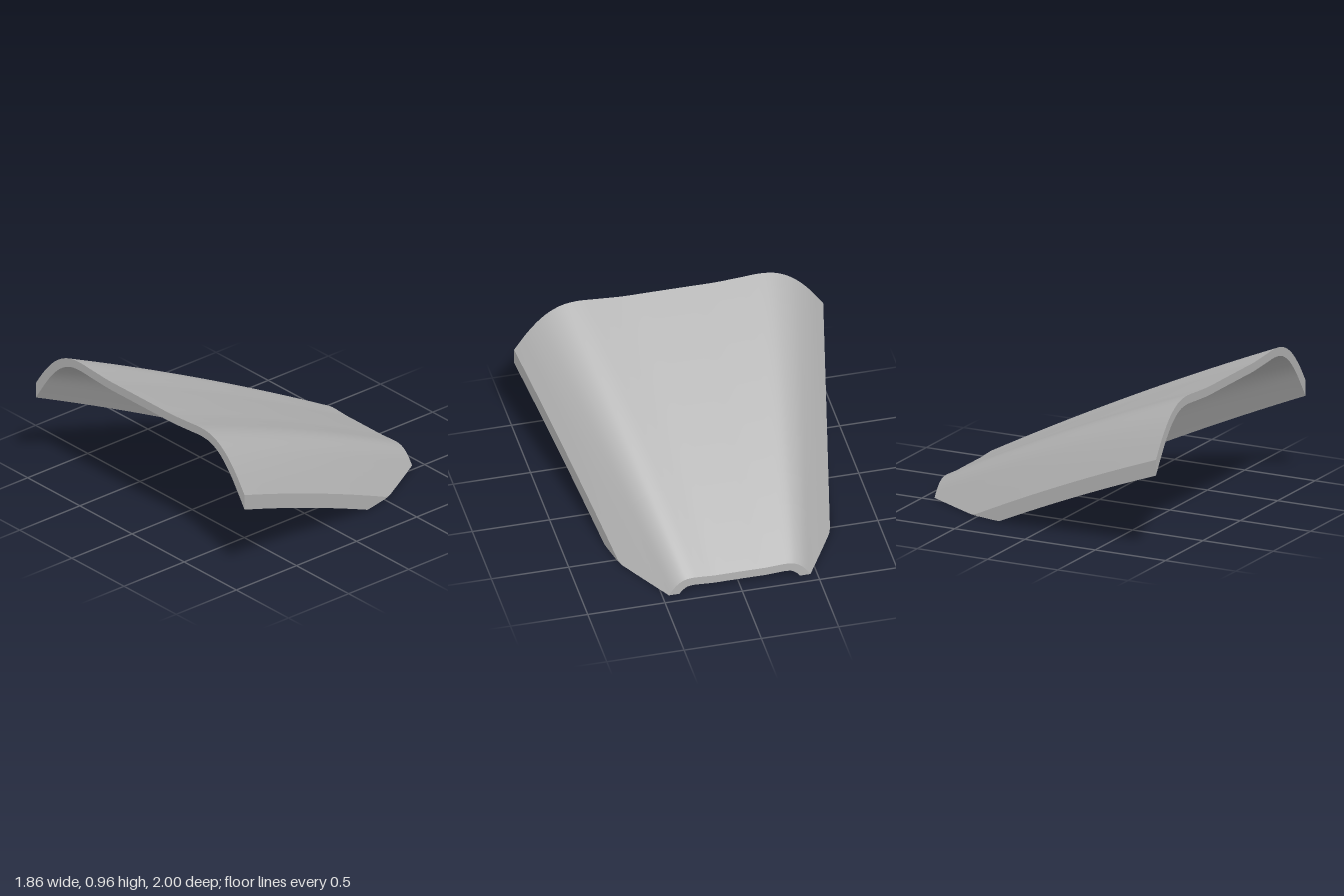
import * as THREE from 'three';

const X = 0.932, THICK = 0.057, HALF = 40;

// Half cross-sections (z, drop below the ridge) at the wide and narrow ends
const spline = (pts) => new THREE.CatmullRomCurve3(pts.map(([z, d]) => new THREE.Vector3(z, -d, 0)));
const wide = spline([[0, 0.017], [0.15, 0.017], [0.3, 0.017], [0.45, 0.008], [0.6, 0],
  [0.7, 0.017], [0.8, 0.072], [0.9, 0.172], [1, 0.312], [1.1, 0.465]]);
const narrow = spline([[0, 0.006], [0.08, 0.006], [0.17, 0.006], [0.24, 0.002], [0.31, 0],
  [0.36, 0.01], [0.41, 0.045], [0.475, 0.135], [0.597, 0.31], [0.7, 0.46]]);

const ridge = (x) => 0.536 + 0.03 * (1 - (x / X) ** 2) - 0.457 * x;
const rim = (x) => 1 - 0.2167 * (x + X);

// Point on the shell at length x and profile parameter t, set in by depth
function shellPoint(x, t, depth) {
  const k = (x + X) / (2 * X);
  const at = (s) => wide.getPoint(s).lerp(narrow.getPoint(s), k);
  const p = at(t);
  if (depth > 0) {
    const e = 0.002;
    const d = at(Math.min(1, t + e)).sub(at(Math.max(0, t - e))).normalize();
    p.x += d.y * depth;
    p.y -= d.x * depth;
  }
  return new THREE.Vector3(x, p.y + ridge(x), p.x);
}

// Full mirrored row, trimmed by the side rim and the ground
function section(x, depth) {
  const inside = (p) => p.z <= rim(x) && p.y >= 0;
  let lo = 0.3, hi = 1;
  for (let i = 0; i < 30; i++) {
    const mid = (lo + hi) / 2;
    if (inside(shellPoint(x, mid, depth))) lo = mid; else hi = mid;
  }
  const half = [];
  for (let j = 0; j <= HALF; j++) half.push(shellPoint(x, (lo * j) / HALF, depth));
  half[0].z = 0;
  const end = half[HALF];
  end.y = Math.max(0, end.y);
  const mirrored = half.slice(1).reverse().map((p) => new THREE.Vector3(p.x, p.y, -p.z));
  return [...mirrored, ...half];
}

// Surface through rows of points
function grid(rows, flat = false) {
  const n = rows[0].length, index = [];
  for (let i = 0; i < rows.length - 1; i++) {
    for (let j = 0; j < n - 1; j++) {
      const a = i * n + j, b = a + 1, d = a + n, c = d + 1;
      index.push(a, b, c, a, c, d);
    }
  }
  let geo = new THREE.BufferGeometry().setFromPoints(rows.flat());
  geo.setIndex(index);
  if (flat) geo = geo.toNonIndexed();
  geo.computeVertexNormals();
  return geo;
}

export function createModel() {
  const group = new THREE.Group();
  group.name = 'curvedCover';
  const grey = new THREE.MeshStandardMaterial({ color: 0xb4b4b4, side: THREE.DoubleSide });
  grey.name = 'grey';
  const add = (name, geo) => {
    const mesh = new THREE.Mesh(geo, grey);
    mesh.name = name;
    group.add(mesh);
  };

  // Stations along the length, including the places where the rim meets the ground
  const stations = [0.37, 0.57];
  for (let i = 0; i <= 40; i++) stations.push(-X + (2 * X * i) / 40);
  stations.sort((a, b) => a - b);

  const outer = stations.map((x) => section(x, 0));
  const inner = stations.map((x) => section(x, THICK));
  add('outerSkin', grid(outer));
  add('innerSkin', grid(inner.map((row) => [...row].reverse())));

  // End faces across the wall thickness
  const last = stations.length - 1;
  add('wideEndFace', grid([inner[0], outer[0]], true));
  add('narrowEndFace', grid([outer[last], inner[last]], true));

  // Side rims: vertical trim above and ground trim below
  for (const side of [1, -1]) {
    const j = side > 0 ? 2 * HALF : 0;
    const top = outer.map((row) => row[j]);
    const low = inner.map((row) => row[j]);
    const corner = top.map((p, i) => new THREE.Vector3(p.x, low[i].y, p.z));
    const strips = [[low, corner], [corner, top]];
    strips.forEach(([a, b], i) => add(
      (side > 0 ? 'left' : 'right') + (i ? 'RimFace' : 'GroundFace'),
      grid(side > 0 ? [a, b] : [b, a], true)));
  }
  return group;
}
